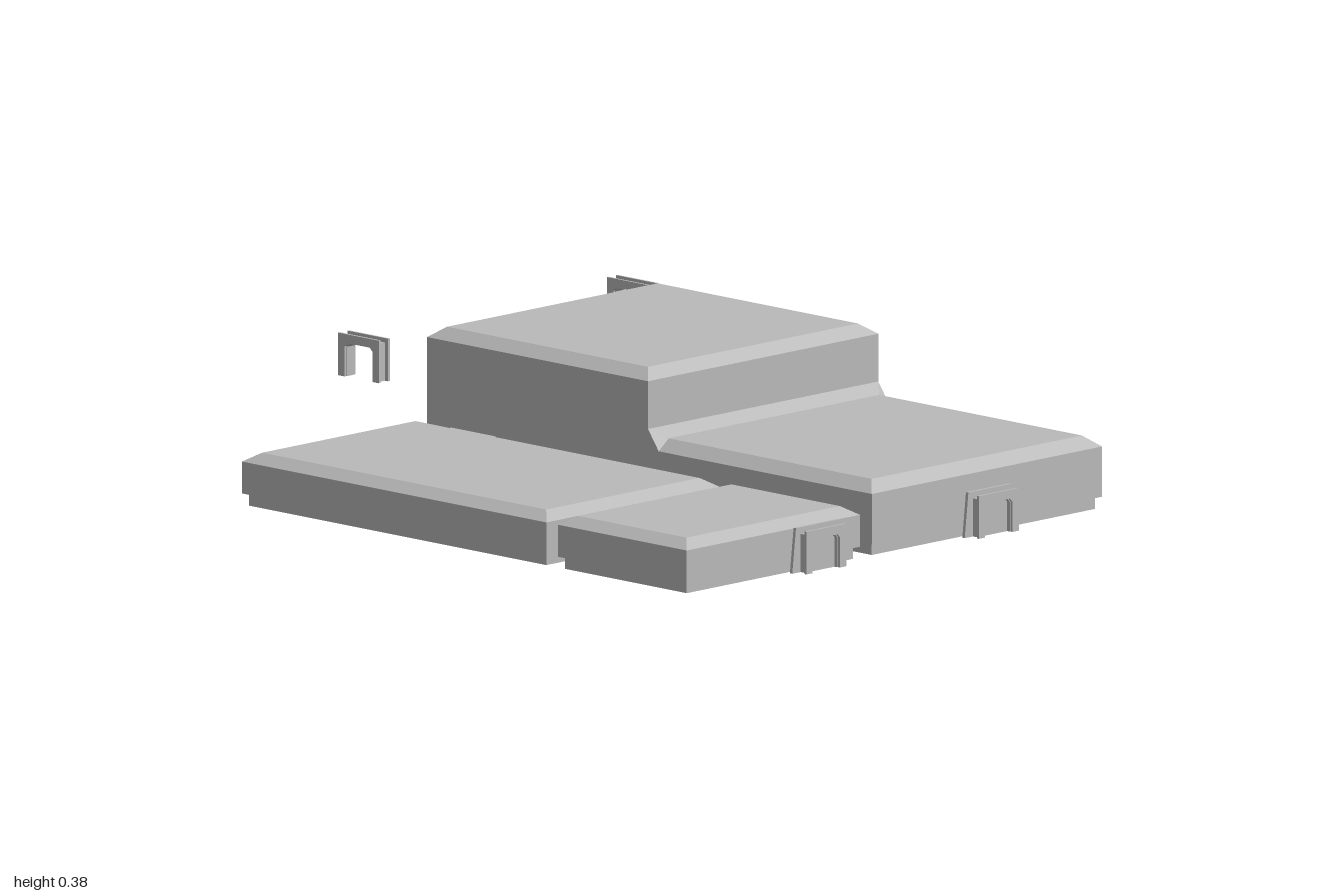
import * as THREE from 'three';
import { ConvexGeometry } from 'three/addons/geometries/ConvexGeometry.js';

const grey = new THREE.MeshStandardMaterial({ color: 0xbababa });
grey.name = 'grey';

function add(parent, name, geometry, x = 0, y = 0, z = 0) {
  const mesh = new THREE.Mesh(geometry, grey);
  mesh.name = name;
  mesh.position.set(x, y, z);
  parent.add(mesh);
  return mesh;
}

const rect = (x0, x1, z0, z1, y) =>
  [[x0, y, z0], [x1, y, z0], [x1, y, z1], [x0, y, z1]];
const hull = (points) => new ConvexGeometry(points.map((p) => new THREE.Vector3(...p)));

// Straight-walled body with a bevelled top edge
function bevelled(x0, x1, z0, z1, bottom, shoulder, top) {
  const b = 0.038;
  return hull([
    ...rect(x0, x1, z0, z1, bottom),
    ...rect(x0, x1, z0, z1, shoulder),
    ...rect(x0 + b, x1 - b, z0 + b, z1 - b, top),
  ]);
}

// Slab on a slightly inset skirt
function slab(parent, name, x0, x1, z0, z1, shoulder, top) {
  const s = 0.013, h = 0.033;
  add(parent, name, bevelled(x0, x1, z0, z1, h, shoulder, top));
  add(parent, name + 'Skirt', new THREE.BoxGeometry(x1 - x0 - 2 * s, h, z1 - z0 - 2 * s),
    (x0 + x1) / 2, h / 2, (z0 + z1) / 2);
}

// Upside-down U, open at the bottom, with chamfered inner corners
function archGeometry(width, height, thick, depth) {
  const w = width / 2, i = w - thick, t = height - thick, c = 0.01;
  const shape = new THREE.Shape([
    [-w, 0], [-i, 0], [-i, t - c], [-i + c, t], [i - c, t], [i, t - c],
    [i, 0], [w, 0], [w, height], [-w, height],
  ].map((p) => new THREE.Vector2(...p)));
  return new THREE.ExtrudeGeometry(shape, { depth, bevelEnabled: false });
}

// Arch with a web between two flanges, running outwards along +z
function arch(parent, name, x, y, z, turn = 0) {
  const g = new THREE.Group();
  g.name = name;
  const depth = 0.042, lip = 0.007;
  add(g, 'archWeb', archGeometry(0.128, 0.104, 0.014, depth - 2 * lip), 0, 0, lip);
  for (const lz of [0, depth - lip]) {
    add(g, 'archFlange', archGeometry(0.152, 0.116, 0.024, lip), 0, 0, lz);
  }
  g.position.set(x, y, z);
  g.rotation.y = turn;
  parent.add(g);
  return g;
}

// Arch fixed to a wall, with a filled opening and an optional tapered surround
function wallArch(parent, name, x, y, z, turn, surround) {
  const g = arch(parent, name, x, y, z, turn);
  add(g, 'archPanel', new THREE.BoxGeometry(0.104, 0.096, 0.024), 0, 0.048, 0.012);
  if (surround) {
    const shape = new THREE.Shape([[-0.096, 0], [0.096, 0], [0.082, 0.122], [-0.082, 0.122]]
      .map((p) => new THREE.Vector2(...p)));
    add(g, 'archSurround', new THREE.ExtrudeGeometry(shape, { depth: 0.009, bevelEnabled: false }));
  }
}

export function createModel() {
  const model = new THREE.Group();
  model.name = 'steppedBlocks';
  const L = -0.707, R = 0.957, back = -0.72, front = 0.155;

  // Rear stepped block: low slab, raised part and the sloped fillet between them
  slab(model, 'rearSlab', L, R, back, front, 0.17, 0.2);
  add(model, 'raisedBlock', bevelled(L, 0.12, back, front, 0.17, 0.355, 0.383));
  add(model, 'stepFillet', hull([
    ...rect(0.12, 0.16, back, front, 0.17),
    [0.12, 0.225, back], [0.12, 0.225, front],
    [0.16, 0.2, back + 0.038], [0.16, 0.2, front - 0.038],
  ]));

  // Two low front slabs
  slab(model, 'frontWideSlab', L, 0.432, 0.2, 0.858, 0.12, 0.144);
  slab(model, 'frontNarrowSlab', 0.476, R, 0.2, 0.858, 0.12, 0.144);

  // Arches on the walls
  wallArch(model, 'frontSlabArch', R, 0, 0.37, Math.PI / 2, true);
  wallArch(model, 'rearSlabArch', R, 0, -0.285, Math.PI / 2, true);
  wallArch(model, 'backArch', -0.216, 0, back, Math.PI, true);
  wallArch(model, 'gapArch', -0.533, 0, front, 0, true);
  wallArch(model, 'sideArch', L, 0.215, -0.13, -Math.PI / 2, false);

  // Free-standing arches
  arch(model, 'looseFrontArch', -0.922, 0.215, 0.155);
  arch(model, 'looseBackArch', -0.922, 0.215, -0.866);

  return model;
}
